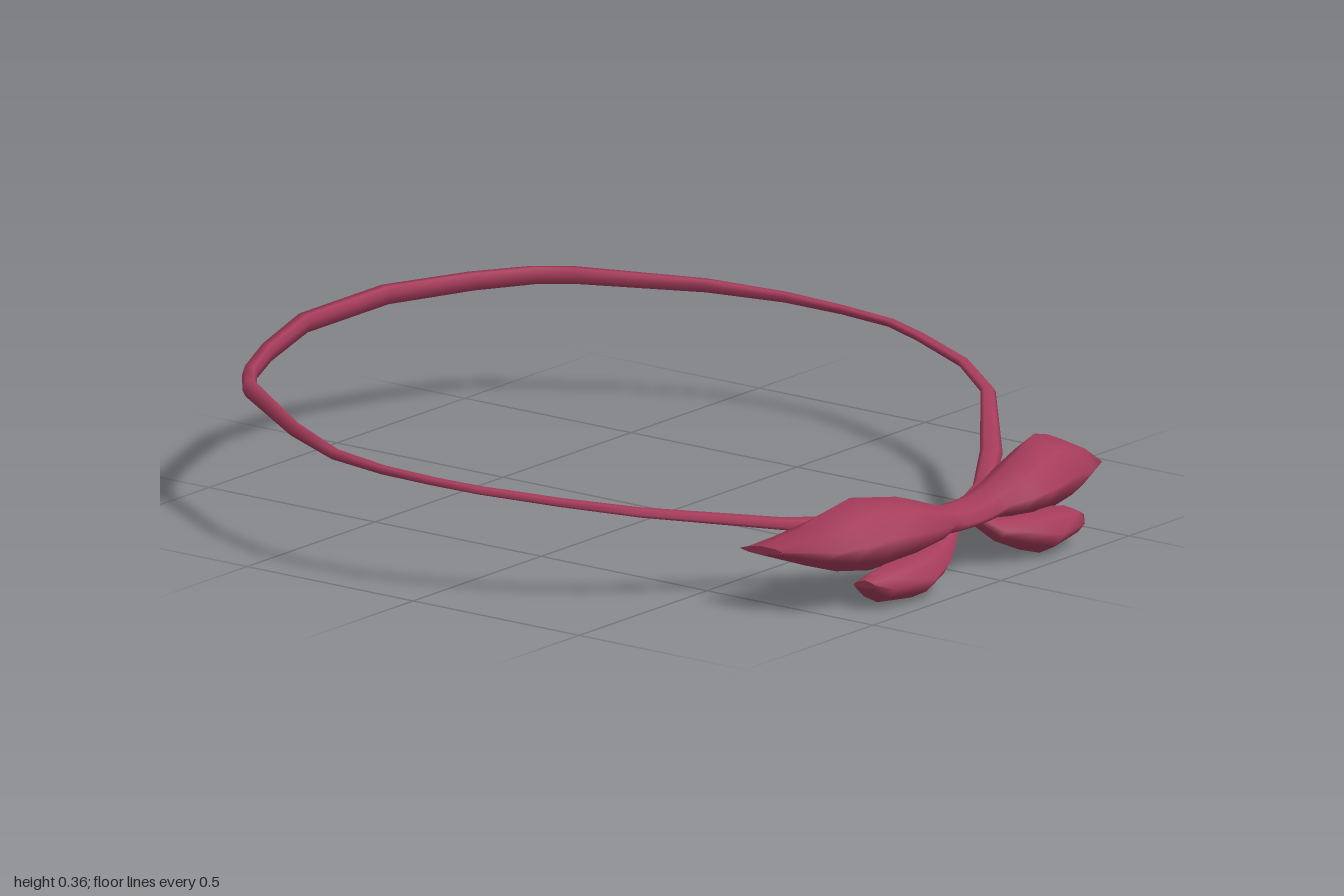
import * as THREE from 'three';

const V = (x, y, z) => new THREE.Vector3(x, y, z);

// Skin a list of equal-sized point loops; closed joins last to first, otherwise both ends are capped.
function loft(rings, closed = false) {
  const n = rings[0].length, pts = rings.flat(), idx = [];
  const spans = closed ? rings.length : rings.length - 1;
  for (let i = 0; i < spans; i++) {
    const a = i * n, b = ((i + 1) % rings.length) * n;
    for (let j = 0; j < n; j++) {
      const k = (j + 1) % n;
      idx.push(a + j, b + j, a + k, a + k, b + j, b + k);
    }
  }
  if (!closed) {
    const cap = (start, flip) => {
      const base = pts.length;
      for (let j = 0; j < n; j++) pts.push(pts[start + j].clone());
      for (let j = 1; j < n - 1; j++) {
        if (flip) idx.push(base, base + j + 1, base + j);
        else idx.push(base, base + j, base + j + 1);
      }
    };
    cap(0, false);
    cap((rings.length - 1) * n, true);
  }
  // Turn faces outward when the enclosed volume is negative
  let volume = 0;
  for (let i = 0; i < idx.length; i += 3)
    volume += pts[idx[i]].dot(pts[idx[i + 1]].clone().cross(pts[idx[i + 2]]));
  if (volume < 0)
    for (let i = 0; i < idx.length; i += 3) [idx[i], idx[i + 1]] = [idx[i + 1], idx[i]];
  const g = new THREE.BufferGeometry().setFromPoints(pts);
  g.setIndex(idx);
  g.computeVertexNormals();
  return g;
}

// Eight-point section from its four extreme points [y, z]; the points between bulge outward.
function section(x, top, front, bottom, back) {
  const p = [top, front, bottom, back];
  const cy = p.reduce((s, q) => s + q[0], 0) / 4, cz = p.reduce((s, q) => s + q[1], 0) / 4;
  const out = [];
  p.forEach((q, i) => {
    const r = p[(i + 1) % 4];
    out.push(V(x, q[0], q[1]));
    out.push(V(x, cy + ((q[0] + r[0]) / 2 - cy) * 1.22, cz + ((q[1] + r[1]) / 2 - cz) * 1.22));
  });
  return out;
}

const mirrorRing = ring => ring.map(p => V(-p.x, p.y, p.z));

export function createModel() {
  const group = new THREE.Group();
  const cloth = new THREE.MeshStandardMaterial({ color: 0xa63c5b });
  cloth.name = 'raspberry cloth';
  const add = (name, geometry) => {
    const mesh = new THREE.Mesh(geometry, cloth);
    mesh.name = name;
    group.add(mesh);
  };

  // Neck band: half path from back to front as x, y, z, width, height
  const half = [
    [0.16, 0.343, -0.98, 0.038, 0.044], [0.40, 0.336, -0.905, 0.036, 0.042],
    [0.555, 0.328, -0.838, 0.036, 0.04], [0.635, 0.321, -0.775, 0.036, 0.038],
    [0.805, 0.303, -0.51, 0.03, 0.03], [0.88, 0.288, -0.33, 0.03, 0.022],
    [0.897, 0.28, -0.17, 0.028, 0.018], [0.89, 0.275, -0.02, 0.03, 0.016],
    [0.86, 0.266, 0.09, 0.032, 0.016], [0.785, 0.251, 0.28, 0.034, 0.017],
    [0.68, 0.23, 0.435, 0.036, 0.02], [0.40, 0.178, 0.66, 0.055, 0.024],
    [0.20, 0.16, 0.79, 0.05, 0.03], [0.07, 0.15, 0.84, 0.05, 0.03],
  ];
  const path = [...half, ...half.map(([x, ...r]) => [-x, ...r]).reverse()];
  const bandRings = path.map(([x, y, z, w, h], i) => {
    const a = path[(i + path.length - 1) % path.length], b = path[(i + 1) % path.length];
    const out = V(-(b[2] - a[2]), 0, b[0] - a[0]).normalize();
    return [[0.3, 0.5], [0.5, 0.1], [0.3, -0.5], [-0.3, -0.5], [-0.5, -0.1], [-0.3, 0.5]]
      .map(([u, v]) => V(x + out.x * u * w, y + v * h, z + out.z * u * w));
  });
  add('neckBand', loft(bandRings, true));

  // Upper bow: both wings and the pinched middle as one skin
  const wing = [
    section(0.05, [0.183, 0.87], [0.15, 0.945], [0.115, 0.88], [0.15, 0.81]),
    section(0.10, [0.195, 0.87], [0.16, 0.945], [0.118, 0.885], [0.15, 0.80]),
    section(0.16, [0.218, 0.87], [0.17, 0.972], [0.112, 0.90], [0.15, 0.79]),
    section(0.23, [0.242, 0.86], [0.178, 0.982], [0.102, 0.90], [0.15, 0.77]),
    section(0.36, [0.261, 0.82], [0.18, 0.955], [0.092, 0.88], [0.15, 0.735]),
    section(0.44, [0.238, 0.80], [0.175, 0.94], [0.10, 0.84], [0.15, 0.705]),
    section(0.515, [0.207, 0.78], [0.172, 0.905], [0.125, 0.81], [0.15, 0.672]),
    section(0.57, [0.17, 0.715], [0.165, 0.78], [0.148, 0.715], [0.155, 0.65]),
  ];
  const knot = section(0, [0.183, 0.87], [0.15, 0.95], [0.115, 0.88], [0.15, 0.81]);
  add('upperBow', loft([...wing.map(mirrorRing).reverse(), knot, ...wing]));

  // Lower bow loops, mirrored left and right
  const tail = [
    section(0.05, [0.145, 0.88], [0.13, 0.91], [0.11, 0.88], [0.13, 0.85]),
    section(0.10, [0.125, 0.89], [0.095, 0.935], [0.066, 0.90], [0.095, 0.86]),
    section(0.17, [0.12, 0.90], [0.085, 0.975], [0.033, 0.92], [0.08, 0.85]),
    section(0.25, [0.118, 0.90], [0.065, 0.995], [0.007, 0.92], [0.05, 0.842]),
    section(0.37, [0.095, 0.90], [0.06, 0.965], [0.02, 0.91], [0.045, 0.845]),
    section(0.405, [0.08, 0.90], [0.07, 0.935], [0.06, 0.90], [0.065, 0.865]),
  ];
  add('leftLowerLoop', loft(tail));
  add('rightLowerLoop', loft(tail.map(mirrorRing)));

  // Settle exactly on the ground and centre front to back
  const box = new THREE.Box3().setFromObject(group);
  const shift = V(0, -box.min.y, -(box.min.z + box.max.z) / 2);
  group.children.forEach(m => m.geometry.translate(shift.x, shift.y, shift.z));
  return group;
}
